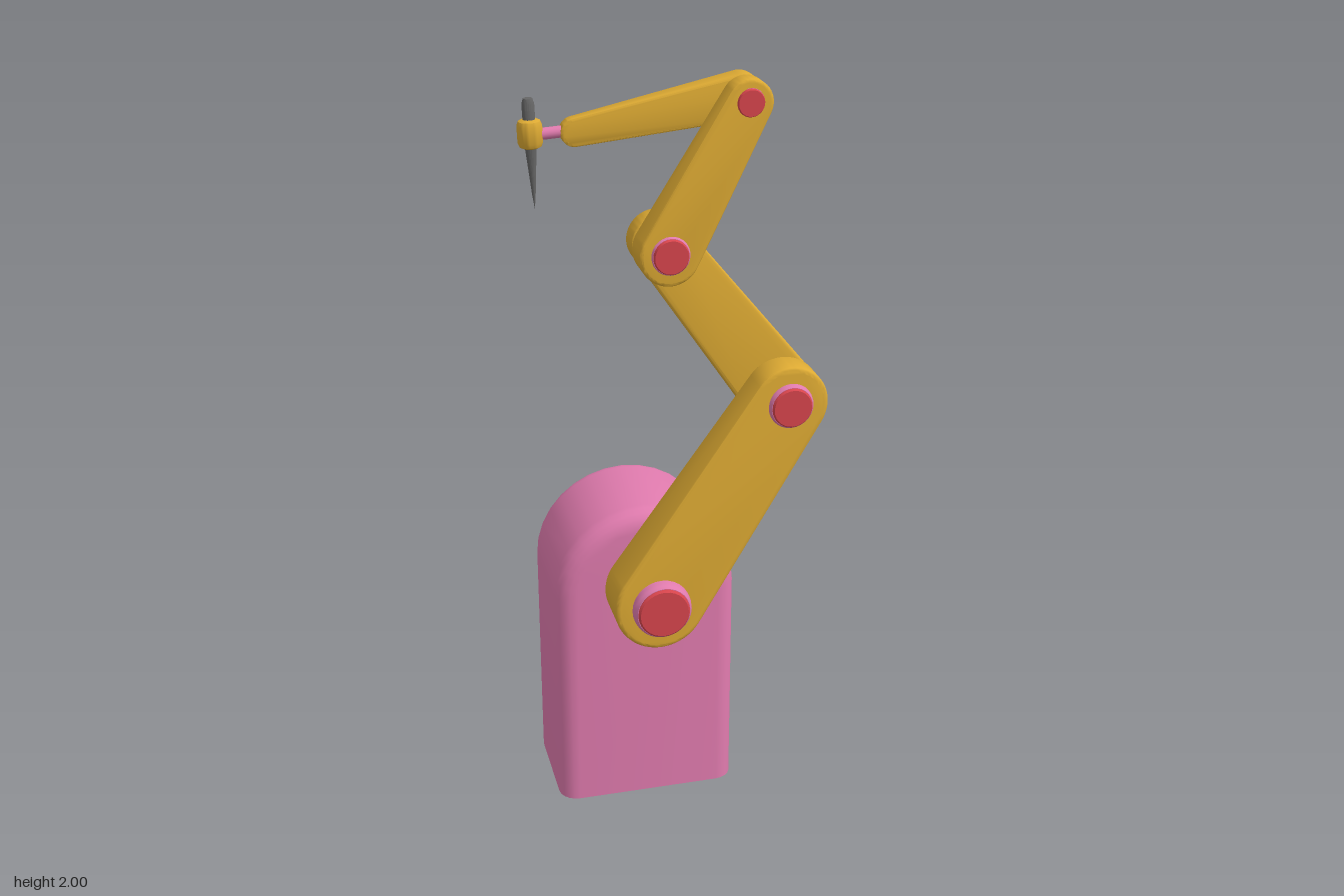
import * as THREE from 'three';
import { toCreasedNormals } from 'three/addons/utils/BufferGeometryUtils.js';

const paint = (color) => new THREE.MeshStandardMaterial({ color });

export function createModel() {
  const model = new THREE.Group();
  const pink = paint(0xe07bae), yellow = paint(0xddaa33), red = paint(0xd8454d), grey = paint(0x666666);

  const add = (name, geometry, material, parent = model) => {
    const mesh = new THREE.Mesh(geometry, material);
    mesh.name = name;
    parent.add(mesh);
    return mesh;
  };
  const lathe = (points, segments = 28) => toCreasedNormals(
    new THREE.LatheGeometry(points.map(([r, y]) => new THREE.Vector2(r, y)), segments), 0.6);

  // Arched pedestal with rounded front and back edges and a flat foot
  const b = 0.05, w = 0.245 - b;
  const arch = new THREE.Shape();
  arch.moveTo(-w, -0.1);
  arch.lineTo(w, -0.1);
  arch.lineTo(w, 0.62);
  arch.absarc(0, 0.62, w, 0, Math.PI, false);
  arch.closePath();
  const base = new THREE.ExtrudeGeometry(arch, {
    depth: 0.34 - 2 * b, bevelSize: b, bevelThickness: b, bevelSegments: 5, curveSegments: 8,
  });
  const bp = base.attributes.position;
  for (let i = 0; i < bp.count; i++) bp.setY(i, Math.max(0, bp.getY(i)));
  base.translate(-0.07, 0, -0.265 + b);
  add('pedestal', toCreasedNormals(base, 0.7), pink);

  // Arm link: round-ended bar narrowing in both width and thickness.
  // Each end is [x, y, radius, zBack, zFront].
  const link = (name, [x0, y0, r0, back0, front0], [x1, y1, r1, back1, front1], bevel) => {
    const length = Math.hypot(x1 - x0, y1 - y0);
    const phi = Math.acos((r0 - r1) / length);
    const shape = new THREE.Shape();
    shape.absarc(length, 0, r1 - bevel, -phi, phi, false);
    shape.absarc(0, 0, r0 - bevel, phi, 2 * Math.PI - phi, false);
    shape.closePath();
    const depth = front0 - back0;
    const geometry = new THREE.ExtrudeGeometry(shape, {
      depth: depth - 2 * bevel, bevelSize: bevel, bevelThickness: bevel, bevelSegments: 3, curveSegments: 16,
    });
    const p = geometry.attributes.position;
    for (let i = 0; i < p.count; i++) {
      const t = (p.getX(i) + r0) / (length + r0 + r1);
      const s = (p.getZ(i) + bevel) / depth;
      p.setZ(i, THREE.MathUtils.lerp(
        THREE.MathUtils.lerp(back0, back1, t), THREE.MathUtils.lerp(front0, front1, t), s));
    }
    geometry.rotateZ(Math.atan2(y1 - y0, x1 - x0)).translate(x0, y0, 0);
    add(name, toCreasedNormals(geometry, 0.6), yellow);
  };
  link('lowerArm', [-0.07, 0.667, 0.12, 0.09, 0.234], [0.27, 1.185, 0.1, 0.116, 0.201], 0.012);
  link('middleArm', [0.27, 1.185, 0.097, -0.005, 0.108], [-0.035, 1.593, 0.073, 0.02, 0.085], 0.01);
  link('upperArm', [-0.035, 1.592, 0.076, 0.093, 0.186], [0.16, 1.945, 0.057, 0.114, 0.17], 0.009);
  link('foreArm', [0.16, 1.945, 0.055, 0.045, 0.108], [-0.242, 1.881, 0.034, 0.06, 0.092], 0.008);

  // Joint pins along z with red end caps
  const pin = (name, x, y, r, z0, z1, backCap = true) => {
    const joint = new THREE.Group();
    joint.name = name;
    joint.position.set(x, y, 0);
    const c = 0.008, k = r * 0.25;
    add('pinBody', lathe([
      [0, z0 + c], [r * 0.9, z0 + c], [r * 0.97, z0 + c + k * 0.35], [r, z0 + c + k],
      [r, z1 - c - k], [r * 0.97, z1 - c - k * 0.35], [r * 0.9, z1 - c], [0, z1 - c],
    ]).rotateX(Math.PI / 2), pink, joint);
    for (const [z, dir] of backCap ? [[z1, 1], [z0, -1]] : [[z1, 1]]) {
      const cap = add('pinCap', lathe([
        [0, -0.012], [r * 0.88, -0.012], [r * 0.88, -0.005], [r * 0.82, 0], [0, 0],
      ]).rotateX(dir * Math.PI / 2), red, joint);
      cap.position.z = z;
    }
    model.add(joint);
  };
  pin('shoulderJoint', -0.07, 0.667, 0.077, 0.04, 0.266, false);
  pin('elbowJoint', 0.27, 1.185, 0.059, -0.019, 0.225);
  pin('upperJoint', -0.035, 1.593, 0.05, -0.001, 0.196);
  pin('topJoint', 0.16, 1.947, 0.038, 0.032, 0.179);

  // Wrist rod joining the forearm to the tool holder
  const rod = add('wristRod', new THREE.CylinderGeometry(0.014, 0.014, 0.075, 20), pink);
  rod.rotation.z = Math.PI / 2 + 0.06;
  rod.position.set(-0.298, 1.881, 0.075);

  // Tool: collar, short shaft above and a long needle below
  const tool = new THREE.Group();
  tool.name = 'tool';
  tool.position.set(-0.346, 1.882, 0.075);
  tool.rotation.z = 0.035;
  add('toolCollar', lathe([
    [0, -0.034], [0.018, -0.034], [0.026, -0.03], [0.03, -0.02],
    [0.03, 0.02], [0.026, 0.03], [0.018, 0.034], [0, 0.034],
  ]), yellow, tool);
  add('toolShaft', lathe([
    [0, 0.02], [0.015, 0.02], [0.015, 0.07], [0.011, 0.083], [0, 0.084],
  ], 20), grey, tool);
  add('toolNeedle', lathe([[0, -0.182], [0.004, -0.15], [0.014, -0.03], [0, -0.03]], 20), grey, tool);
  model.add(tool);

  return model;
}
